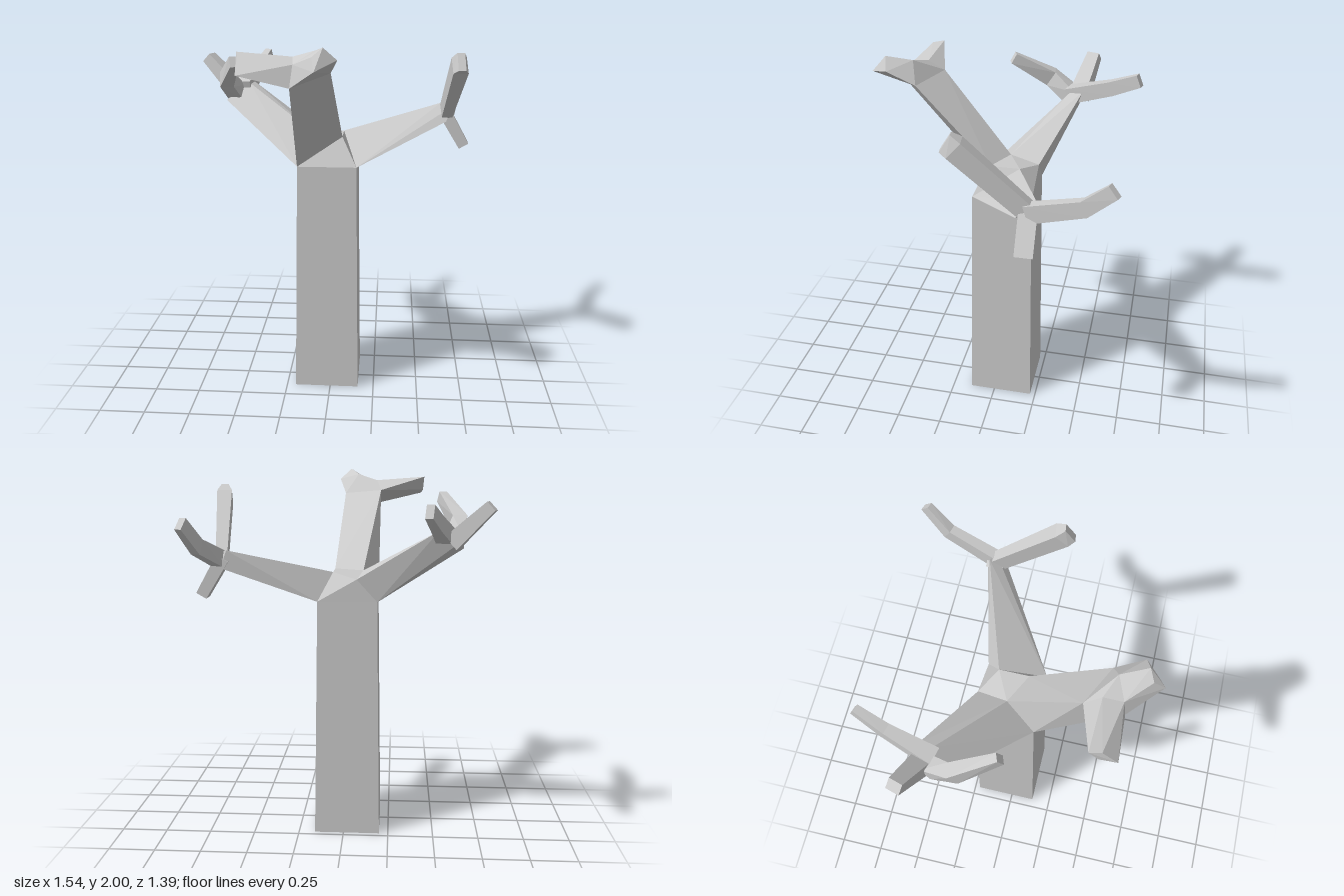
import * as THREE from 'three';
import { ConvexGeometry } from 'three/addons/geometries/ConvexGeometry.js';

const material = new THREE.MeshStandardMaterial({ color: 0xcccccc, flatShading: true });
const v = (p) => new THREE.Vector3(...p);

// Faceted solid spanning a set of corner points
function solid(name, ...corners) {
  const mesh = new THREE.Mesh(new ConvexGeometry(corners.map(v)), material);
  mesh.name = name;
  return mesh;
}

// Four-sided twig through stations [x, y, z, halfWidth, halfHeight]
function twig(name, ...stations) {
  const group = new THREE.Group();
  group.name = name;
  const pts = stations.map((s) => v(s.slice(0, 3)));
  const rings = stations.map(([, , , w, h], i) => {
    const dir = pts[Math.min(i + 1, pts.length - 1)].clone().sub(pts[Math.max(i - 1, 0)]).normalize();
    const side = new THREE.Vector3(0, 1, 0).cross(dir).normalize();
    const up = dir.clone().cross(side);
    return [[1, 1], [-1, 1], [-1, -1], [1, -1]].map(([a, b]) =>
      pts[i].clone().addScaledVector(side, a * w).addScaledVector(up, b * h).toArray());
  });
  for (let i = 1; i < rings.length; i++) group.add(solid(name + 'Segment', ...rings[i - 1], ...rings[i]));
  return group;
}

export function createModel() {
  const tree = new THREE.Group();
  tree.name = 'bareTree';

  // Trunk: tapered square post
  const FL = [-0.18, 1.31, 0.12], FR = [0.14, 1.31, 0.12];
  const BL = [-0.18, 1.31, -0.2], BR = [0.14, 1.31, -0.2];
  tree.add(solid('trunk', FL, FR, BL, BR,
    [-0.2, 0, 0.14], [0.16, 0, 0.14], [-0.2, 0, -0.22], [0.16, 0, -0.22]));

  // Crown: faceted cap where the three boughs meet
  const P = [0.06, 1.46, 0.04], Q = [-0.1, 1.46, -0.04];
  const R = [0.06, 1.46, -0.12], S = [-0.07, 1.43, -0.2];
  tree.add(solid('crown', FL, FR, BL, BR, P, Q, R, S));

  // Front bough with a forked end
  const a1 = [-0.165, 1.8, 0.54], a2 = [0.025, 1.86, 0.44], a3 = [-0.185, 1.88, 0.34];
  const a4 = [-0.05, 1.97, 0.47], a5 = [-0.15, 1.91, 0.52], a6 = [-0.16, 1.935, 0.42];
  tree.add(
    solid('frontBough', FL, P, Q, a1, a2, a3),
    solid('frontKnuckle', a1, a2, a3, a4, a5, a6),
    solid('frontTip', a1, a2, a4, a5,
      [-0.035, 1.9, 0.69], [0.065, 1.94, 0.58], [0, 2, 0.6], [-0.05, 1.96, 0.63]),
    solid('frontSideTwig', a1, a3, a5, a6,
      [-0.42, 1.86, 0.55], [-0.42, 1.945, 0.47], [-0.435, 1.955, 0.41], [-0.43, 1.88, 0.46]),
  );

  // Left bough with three twigs
  tree.add(
    solid('leftBough', FR, BR, R, [0.6, 1.59, -0.3], [0.63, 1.5, -0.21], [0.63, 1.5, -0.32], [0.66, 1.57, -0.28]),
    twig('leftForwardTwig', [0.63, 1.55, -0.26, 0.03, 0.045], [0.67, 1.85, 0.06, 0.04, 0.05], [0.675, 1.875, 0.1, 0.02, 0.05]),
    twig('leftBackTwig', [0.64, 1.54, -0.27, 0.03, 0.045], [0.695, 1.63, -0.54, 0.024, 0.04], [0.74, 1.75, -0.665, 0.018, 0.035]),
    twig('leftDownTwig', [0.62, 1.55, -0.275, 0.045, 0.035], [0.735, 1.355, -0.275, 0.045, 0.03]),
  );

  // Right bough with three twigs
  tree.add(
    solid('rightBough', FL, BL, Q, S,
      [-0.62, 1.6, -0.25], [-0.49, 1.69, -0.3], [-0.49, 1.7, -0.37], [-0.58, 1.63, -0.36]),
    twig('rightBackTwig', [-0.53, 1.66, -0.29, 0.045, 0.045], [-0.475, 1.74, -0.53, 0.028, 0.04], [-0.43, 1.81, -0.68, 0.02, 0.035]),
    twig('rightOuterTwig', [-0.56, 1.64, -0.34, 0.05, 0.045], [-0.745, 1.825, -0.395, 0.035, 0.03]),
    twig('rightForwardTwig', [-0.57, 1.64, -0.3, 0.045, 0.045], [-0.6, 1.73, -0.17, 0.038, 0.045], [-0.52, 1.855, 0.035, 0.022, 0.03]),
  );
  return tree;
}
